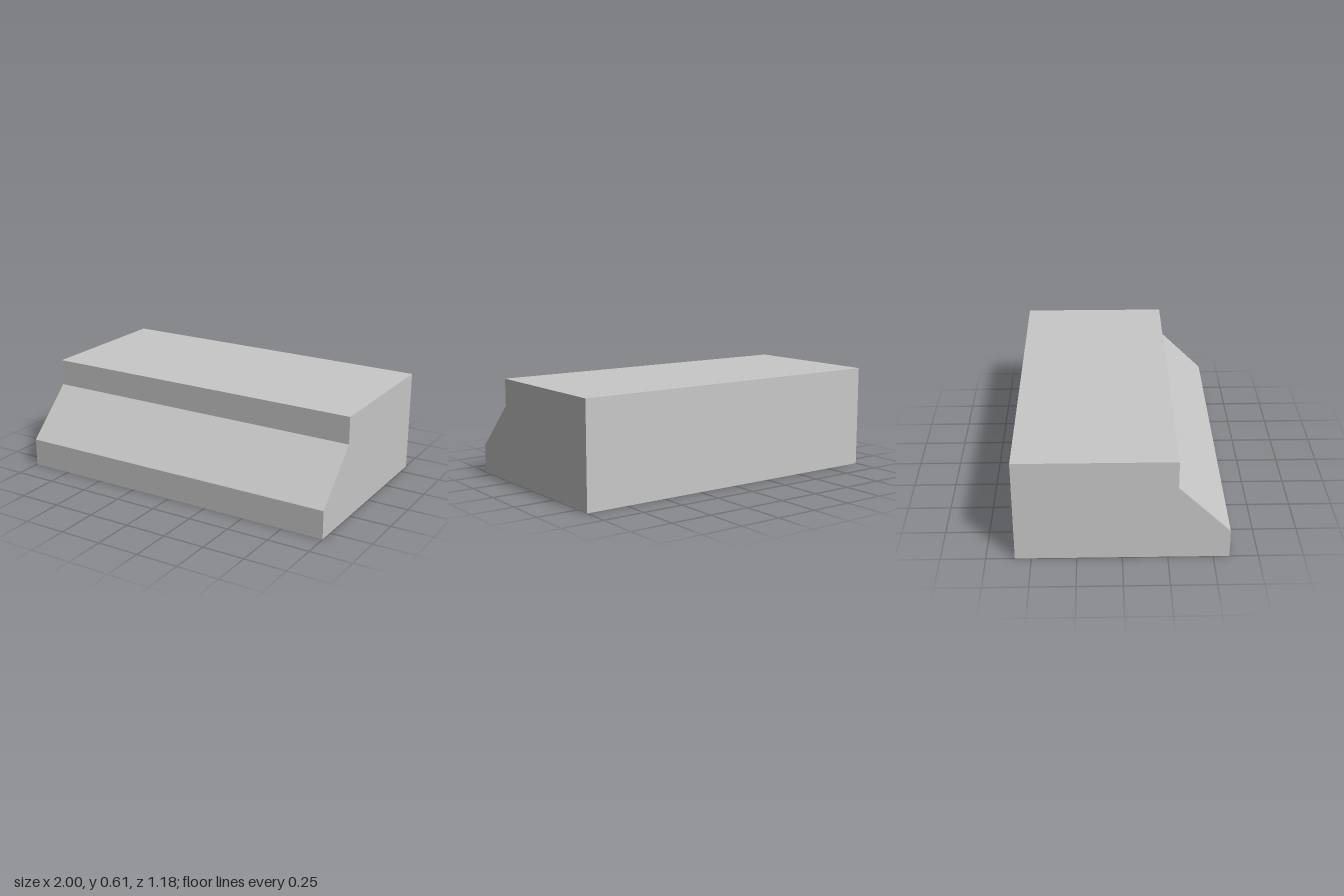
import * as THREE from 'three';

// Side profiles as [z, y] points
const OUTER = [[-0.59, 0], [0.59, 0], [0.59, 0.167], [0.3, 0.45], [0.3, 0.61], [-0.59, 0.61]];
const INNER = [[-0.565, 0], [0.565, 0], [0.565, 0.07], [0.2, 0.44], [0.2, 0.585], [-0.565, 0.585]];
const WALL = 0.025;

// Extrudes a [z, y] outline along x, centred on the given x
function extrudeAlongX(points, width, x) {
  const shape = new THREE.Shape(points.map(([z, y]) => new THREE.Vector2(z, y)));
  const geometry = new THREE.ExtrudeGeometry(shape, { depth: width, bevelEnabled: false });
  geometry.translate(0, 0, -width / 2);
  geometry.rotateY(-Math.PI / 2);
  geometry.translate(x, 0, 0);
  return geometry;
}

export function createModel() {
  const group = new THREE.Group();
  group.name = 'steppedHood';
  const grey = new THREE.MeshStandardMaterial({ color: 0xc8c8c8 });
  grey.name = 'light grey';

  const add = (name, geometry) => {
    const mesh = new THREE.Mesh(geometry, grey);
    mesh.name = name;
    group.add(mesh);
  };

  // Front, top and back walls as one folded shell, open underneath
  const shell = [...OUTER.slice(1), OUTER[0], INNER[0], ...INNER.slice(1).reverse()];
  add('shell', extrudeAlongX(shell, 2 - 2 * WALL, 0));

  // End walls close the shell on both sides
  for (const [name, side] of [['leftEnd', 1], ['rightEnd', -1]]) {
    add(name, extrudeAlongX(OUTER, WALL, side * (1 - WALL / 2)));
  }
  return group;
}
